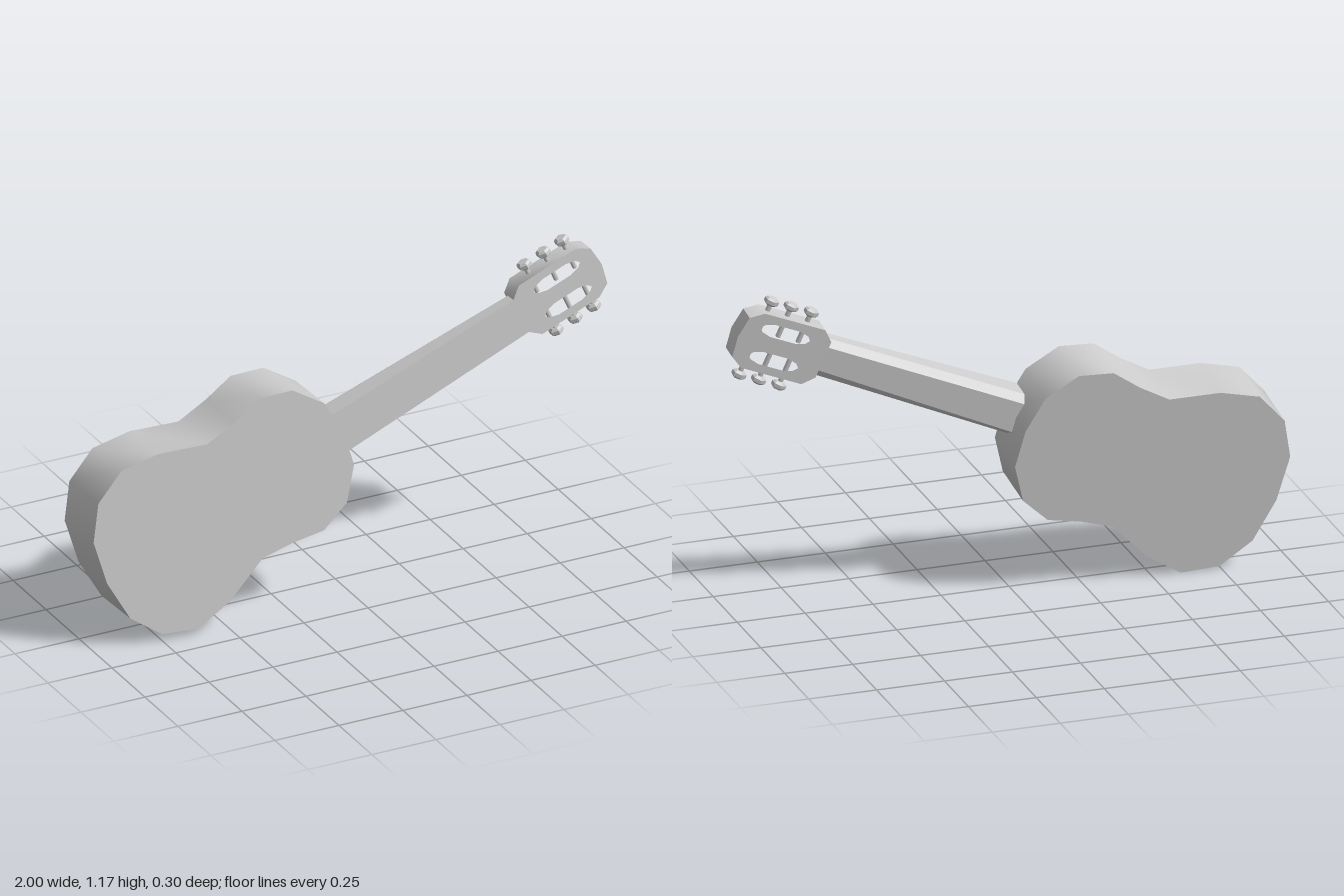
import * as THREE from 'three';
import { toCreasedNormals } from 'three/addons/utils/BufferGeometryUtils.js';
import { ConvexGeometry } from 'three/addons/geometries/ConvexGeometry.js';

// Local frame: +x runs along the neck, y across it, the soundboard lies in z = 0.
const material = new THREE.MeshStandardMaterial({ color: 0xcccccc });

function addMesh(parent, name, geometry) {
  const mesh = new THREE.Mesh(geometry, material);
  mesh.name = name;
  parent.add(mesh);
  return mesh;
}

// Full outline from the upper half, mirrored across the long axis
function mirrored(half) {
  const lower = half.filter(([, y]) => y > 0).reverse().map(([x, y]) => [x, -y]);
  return [...half, ...lower].map(([x, y]) => new THREE.Vector2(x, y));
}

// Plate with its front at z = 0, smooth round its sides and sharp at the rims
function plate(shape, depth) {
  const geometry = new THREE.ExtrudeGeometry(shape, { depth, bevelEnabled: false });
  geometry.translate(0, 0, -depth);
  return toCreasedNormals(geometry, 0.85);
}

export function createModel() {
  const guitar = new THREE.Group();
  guitar.name = 'guitar';

  // Body with waist
  const bodyOutline = mirrored([
    [-0.988, 0], [-0.968, 0.168], [-0.891, 0.291], [-0.765, 0.352], [-0.62, 0.328],
    [-0.449, 0.254], [-0.326, 0.268], [-0.209, 0.294], [-0.091, 0.25], [-0.009, 0.137], [0.01, 0],
  ]);
  addMesh(guitar, 'body', plate(new THREE.Shape(bodyOutline), 0.237));

  // Tapered neck with chamfered back
  const neckSection = (x, halfWidth, side, halfBack, depth) => [1, -1].flatMap((s) => [
    new THREE.Vector3(x, s * halfWidth, 0),
    new THREE.Vector3(x, s * halfWidth, -side),
    new THREE.Vector3(x, s * halfBack, -depth),
  ]);
  addMesh(guitar, 'neck', new ConvexGeometry([
    ...neckSection(-0.005, 0.078, 0.088, 0.056, 0.127),
    ...neckSection(0.775, 0.071, 0.045, 0.045, 0.066),
  ]));

  // Headstock with two long slots
  const head = new THREE.Shape(mirrored([
    [0.76, 0.071], [0.8, 0.108], [1.04, 0.108], [1.088, 0.078], [1.1, 0],
  ]));
  for (const side of [1, -1]) {
    const slot = [
      [-0.098, 0], [-0.085, 0.014], [-0.05, 0.024], [0.05, 0.024], [0.085, 0.014], [0.098, 0],
      [0.085, -0.014], [0.05, -0.024], [-0.05, -0.024], [-0.085, -0.014],
    ].map(([x, y]) => new THREE.Vector2(0.935 + x, side * 0.054 + y));
    head.holes.push(new THREE.Path(slot));
  }
  addMesh(guitar, 'headstock', plate(head, 0.076));

  // Tuning pegs: a shaft crossing the slot and a six-sided button
  const shaftGeometry = new THREE.CylinderGeometry(0.009, 0.009, 0.115, 6);
  const buttonGeometry = toCreasedNormals(new THREE.LatheGeometry([
    [0, -0.014], [0.017, -0.014], [0.027, -0.006], [0.027, 0.007], [0.019, 0.014], [0, 0.014],
  ].map(([r, y]) => new THREE.Vector2(r, y)), 6), 0.5);
  for (const side of [1, -1]) {
    for (const x of [0.86, 0.94, 1.018]) {
      const peg = new THREE.Group();
      peg.name = 'tuningPeg';
      peg.position.set(x, 0, -0.038);
      if (side < 0) peg.rotation.x = Math.PI;
      addMesh(peg, 'pegShaft', shaftGeometry).position.y = 0.082;
      addMesh(peg, 'pegButton', buttonGeometry).position.y = 0.145;
      guitar.add(peg);
    }
  }

  // Neck raised, soundboard leaning back a little
  guitar.rotation.set(-0.093, 0, THREE.MathUtils.degToRad(22.4), 'ZYX');
  guitar.position.set(-0.04, 0.647, 0.124);

  const model = new THREE.Group();
  model.name = 'acousticGuitar';
  model.add(guitar);
  return model;
}
